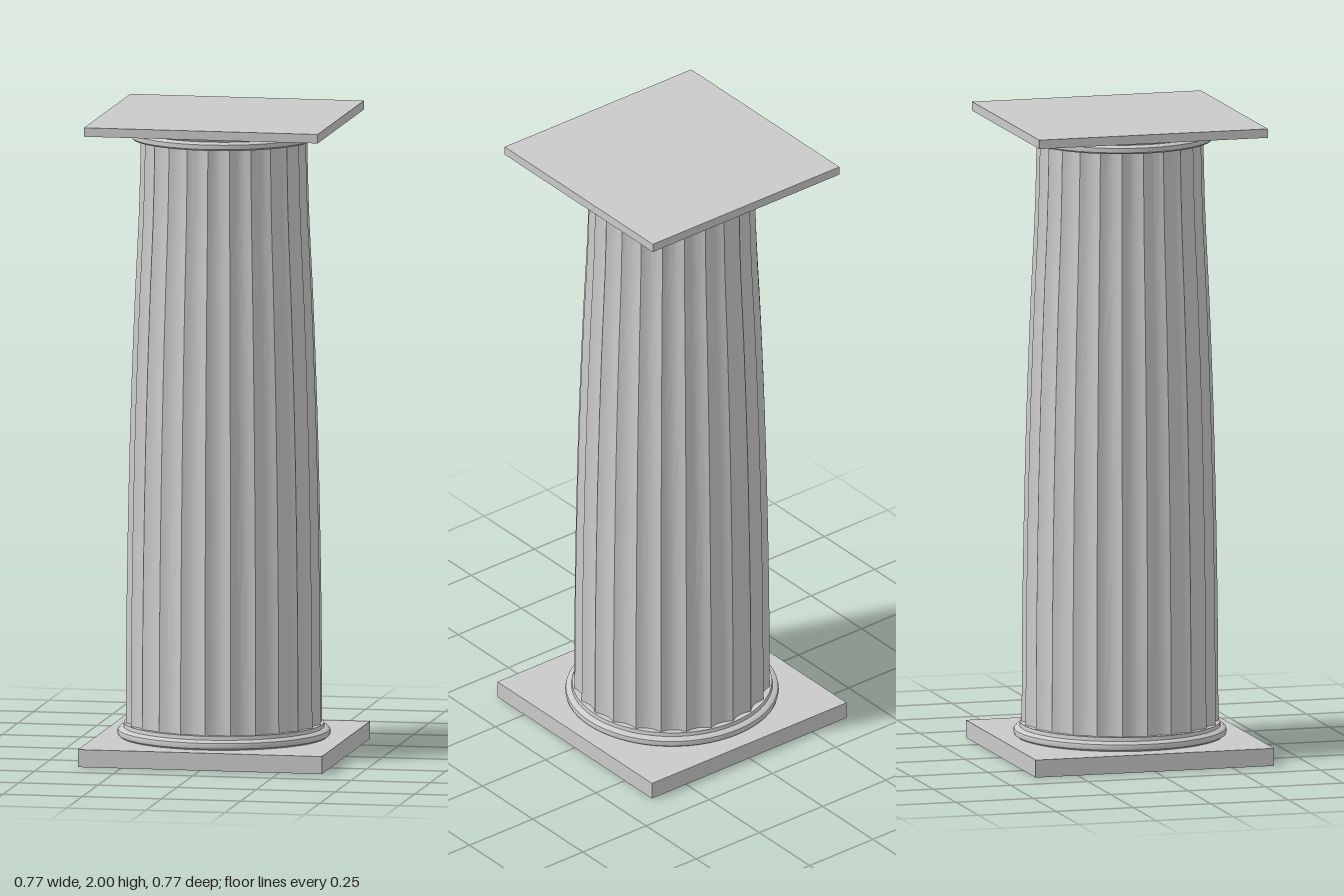
import * as THREE from 'three';
import { toCreasedNormals } from 'three/addons/utils/BufferGeometryUtils.js';

export function createModel() {
  const group = new THREE.Group();
  const stone = new THREE.MeshStandardMaterial({ color: 0xcacaca });
  stone.name = 'stone';

  const add = (name, geometry) => {
    const mesh = new THREE.Mesh(geometry, stone);
    mesh.name = name;
    group.add(mesh);
  };
  const slab = (name, width, y0, y1) => {
    const g = new THREE.BoxGeometry(width, y1 - y0, width);
    add(name, g.translate(0, (y0 + y1) / 2, 0));
  };
  const turned = (name, profile) => {
    const points = profile.map(([r, y]) => new THREE.Vector2(r, y));
    add(name, toCreasedNormals(new THREE.LatheGeometry(points, 64), 0.6));
  };

  // Square plinth and abacus
  slab('plinth', 0.77, 0, 0.055);
  slab('abacus', 0.738, 1.972, 2);

  // Rounded base moulding
  turned('baseMoulding', [
    [0.2, 0.055], [0.322, 0.055], [0.329, 0.06], [0.331, 0.068], [0.329, 0.077],
    [0.322, 0.083], [0.312, 0.085], [0.31, 0.097], [0.2, 0.097],
  ]);

  // Capital: lower ring, neck, then a flare under the abacus
  turned('capitalMoulding', [
    [0.2, 1.926], [0.284, 1.926], [0.289, 1.931], [0.289, 1.945], [0.283, 1.95],
    [0.273, 1.952], [0.279, 1.958], [0.29, 1.962], [0.305, 1.966], [0.305, 1.973], [0.2, 1.973],
  ]);

  // Fluted shaft with a gentle swelling taper
  const flutes = 24, steps = 8, rows = 24;
  const y0 = 0.092, y1 = 1.93;
  const outline = new THREE.CatmullRomCurve3([
    [0.305, y0], [0.302, 0.5], [0.292, 1.0], [0.278, 1.4], [0.264, 1.7], [0.258, y1],
  ].map(([r, y]) => new THREE.Vector3(r, y, 0)));
  const shaft = new THREE.CylinderGeometry(1, 1, 1, flutes * steps, rows, true);
  const pos = shaft.attributes.position;
  for (let i = 0; i < pos.count; i++) {
    const column = i % (flutes * steps + 1);
    const p = outline.getPoint(pos.getY(i) + 0.5);
    const u = (column % steps) / steps * 2 - 1;
    const r = p.x * (1 - 0.045 * (1 - u * u));
    const a = column / (flutes * steps) * Math.PI * 2;
    pos.setXYZ(i, Math.sin(a) * r, p.y, Math.cos(a) * r);
  }
  add('flutedShaft', toCreasedNormals(shaft, 0.5));

  return group;
}
